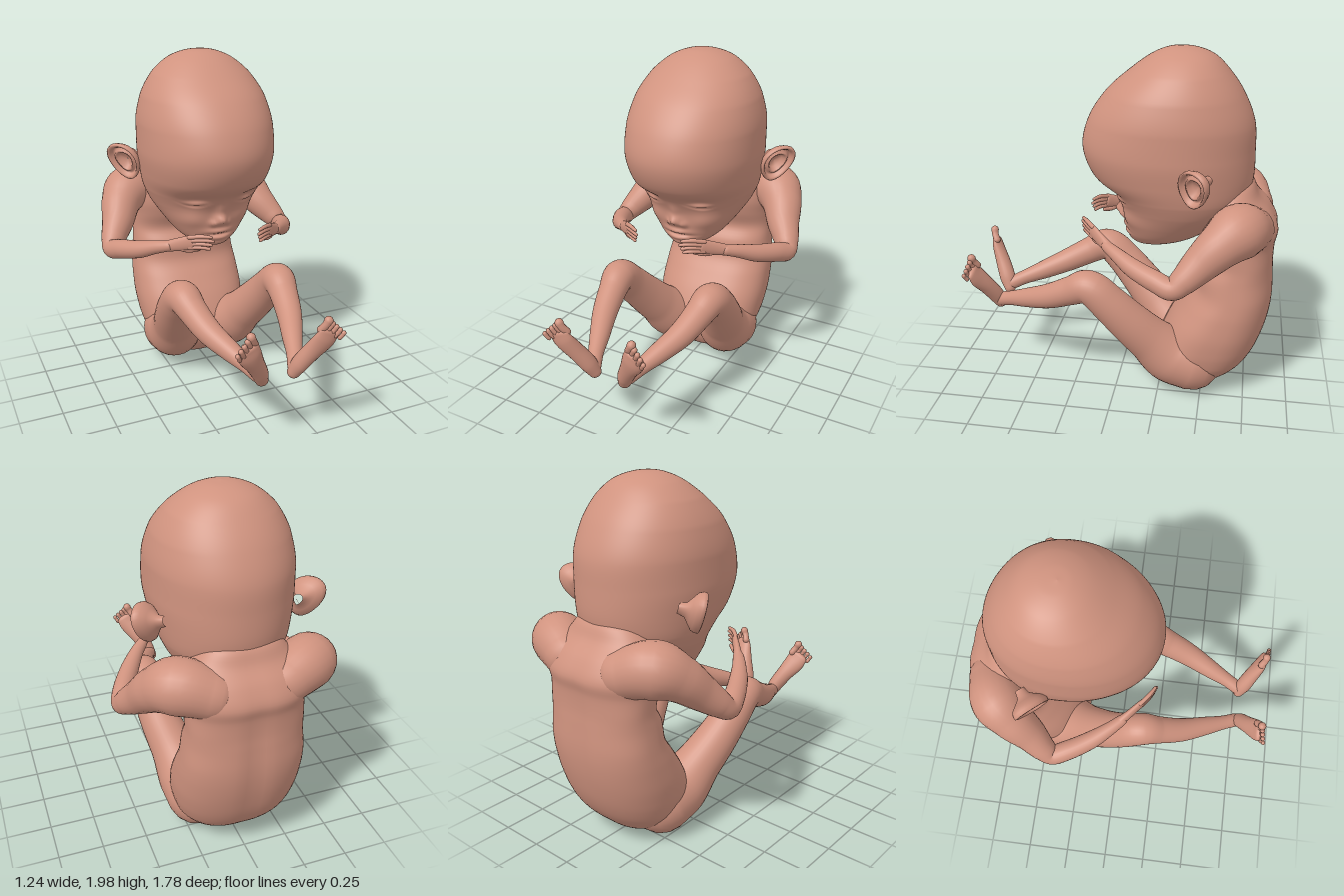
import * as THREE from 'three';

const V = (x, y, z) => new THREE.Vector3(x, y, z);
const bell = (d, s) => Math.exp(-((d / s) ** 2));

// Smooth skin over closed rings of equal length
function skin(rings) {
  const n = rings[0].length, pos = [], idx = [];
  rings.forEach((ring, i) => ring.forEach((p, j) => {
    pos.push(p.x, p.y, p.z);
    if (i === rings.length - 1) return;
    const a = i * n + j, b = i * n + (j + 1) % n;
    idx.push(a, b, a + n, b, b + n, a + n);
  }));
  const geo = new THREE.BufferGeometry();
  geo.setAttribute('position', new THREE.Float32BufferAttribute(pos, 3));
  geo.setIndex(idx);
  geo.computeVertexNormals();
  return geo;
}

// Round-ended limb through sections [x, y, z, radius across, radius along ref]
function limb(sections, ref, sides = 24, steps = 6) {
  const path = new THREE.CatmullRomCurve3(sections.map(s => V(s[0], s[1], s[2])));
  const size = new THREE.CatmullRomCurve3(sections.map(s => V(s[3], s[4] ?? s[3], 0)));
  const rings = [];
  const ring = (t, shift, scale) => {
    const dir = path.getTangent(t), r = size.getPoint(t);
    const side = ref.clone().cross(dir).normalize(), up = dir.clone().cross(side);
    const c = path.getPoint(t).addScaledVector(dir, shift * Math.min(r.x, r.y));
    rings.push(Array.from({ length: sides }, (_, j) => {
      const a = j / sides * Math.PI * 2;
      return c.clone().addScaledVector(side, r.x * scale * Math.cos(a))
        .addScaledVector(up, r.y * scale * Math.sin(a));
    }));
  };
  const cap = [0.01, 0.4, 0.75, 0.93];
  cap.forEach(s => ring(0, -Math.sqrt(1 - s * s), s));
  const total = (sections.length - 1) * steps;
  for (let i = 0; i <= total; i++) ring(i / total, 0, 1);
  cap.reverse().forEach(s => ring(1, Math.sqrt(1 - s * s), s));
  return skin(rings);
}

// Body from level slices [y, front z, back z, half width], bottom to top
function slices(rows, sides, steps, power, shape) {
  const a = new THREE.CatmullRomCurve3(rows.map(r => V(r[0], r[1], r[2])));
  const w = new THREE.CatmullRomCurve3(rows.map(r => V(r[3], 0, 0)));
  const total = (rows.length - 1) * steps, rings = [];
  const bow = v => Math.sign(v) * Math.abs(v) ** (2 / power);
  for (let i = 0; i <= total; i++) {
    const p = a.getPoint(i / total), hw = Math.max(0.0005, w.getPoint(i / total).x);
    rings.push(Array.from({ length: sides }, (_, j) => {
      const t = j / sides * Math.PI * 2, c = Math.cos(t);
      const q = V(hw * bow(Math.sin(t)), p.x, (p.y + p.z) / 2 + (p.y - p.z) / 2 * bow(c));
      q.z += shape(q.x, q.y, c);
      return q;
    }));
  }
  return skin(rings);
}

// Relief of the sleeping face
function face(x, y, c) {
  if (c <= 0) return 0;
  const m = Math.abs(x);
  const d = 0.05 * bell(x, 0.035) * bell(y - 1.06, 0.032)
    + 0.02 * bell(x, 0.03) * bell(y - 1.12, 0.05)
    + 0.022 * bell(m - 0.045, 0.02) * bell(y - 1.04, 0.02)
    - 0.025 * bell(m - 0.15, 0.07) * bell(y - 1.2, 0.035)
    + 0.018 * bell(m - 0.16, 0.06) * bell(y - 1.175, 0.022)
    - 0.015 * bell(m - 0.16, 0.055) * bell(y - 1.16 - 3 * (m - 0.16) ** 2, 0.008)
    + 0.02 * bell(m - 0.17, 0.07) * bell(y - 1.06, 0.06)
    + 0.018 * bell(x, 0.07) * (bell(y - 0.985, 0.016) + bell(y - 0.94, 0.016))
    - 0.015 * bell(x, 0.075) * bell(y - 0.962, 0.008)
    + 0.015 * bell(x, 0.06) * bell(y - 0.9, 0.022);
  return d * Math.min(1, c * 3);
}

function earGeometry() {
  const c = V(0.43, 1.355, -0.44), u = V(0.66, 0, -0.75), v = V(0.3, 0.95, 0);
  const n = u.clone().cross(v).normalize();
  // [radius, height] from the root behind, over the rim, into the hollow
  const rows = [[0.25, -0.1], [0.35, -0.06], [0.65, -0.035], [0.9, -0.015], [1, 0.008], [0.98, 0.026],
    [0.9, 0.03], [0.82, 0.02], [0.76, 0], [0.66, -0.005], [0.58, 0.012], [0.48, 0.01], [0.38, -0.018], [0.01, -0.025]];
  return skin(rows.map(([r, h]) => Array.from({ length: 36 }, (_, j) => {
    const t = j / 36 * Math.PI * 2, s = Math.sin(t);
    return c.clone().addScaledVector(u, 0.1 * r * Math.cos(t) * (1 + 0.2 * s))
      .addScaledVector(v, 0.115 * r * s).addScaledVector(n, h);
  })));
}

export function createModel() {
  const model = new THREE.Group();
  model.name = 'curledBaby';
  const skinTone = new THREE.MeshStandardMaterial({ color: 0xd0937f });
  skinTone.name = 'skin';
  const add = (name, geo) => {
    const mesh = new THREE.Mesh(geo, skinTone);
    mesh.name = name;
    model.add(mesh);
  };
  // Left part plus its mirror image on the right
  const pair = (name, geo) => {
    add('left' + name, geo);
    const flip = geo.clone().scale(-1, 1, 1), id = flip.index.array;
    for (let i = 0; i < id.length; i += 3) [id[i], id[i + 1]] = [id[i + 1], id[i]];
    flip.computeVertexNormals();
    add('right' + name, flip);
  };
  const X = V(1, 0, 0), Y = V(0, 1, 0), Z = V(0, 0, 1);

  // Head with face
  add('head', slices([
    [0.87, -0.15, -0.15, 0], [0.878, -0.09, -0.22, 0.07], [0.9, -0.06, -0.33, 0.125], [0.95, -0.035, -0.45, 0.19],
    [1.03, -0.02, -0.56, 0.25], [1.12, 0, -0.66, 0.305], [1.2, 0.055, -0.71, 0.34], [1.3, 0.165, -0.735, 0.365],
    [1.45, 0.22, -0.735, 0.385], [1.6, 0.188, -0.725, 0.383], [1.75, 0.092, -0.665, 0.35], [1.87, -0.04, -0.582, 0.28],
    [1.95, -0.15, -0.5, 0.185], [1.988, -0.235, -0.41, 0.09], [2, -0.31, -0.31, 0],
  ], 128, 11, 2.1, face));
  pair('Ear', earGeometry());

  // Torso with a shallow spine groove
  add('torso', slices([
    [0.035, -0.42, -0.42, 0], [0.05, -0.32, -0.56, 0.13], [0.1, -0.26, -0.66, 0.24], [0.2, -0.22, -0.755, 0.315],
    [0.3, -0.24, -0.81, 0.34], [0.43, -0.3, -0.853, 0.352], [0.55, -0.38, -0.877, 0.348], [0.65, -0.445, -0.884, 0.338],
    [0.76, -0.46, -0.88, 0.325], [0.85, -0.505, -0.875, 0.318], [0.95, -0.47, -0.878, 0.32], [1.03, -0.45, -0.89, 0.33],
    [1.12, -0.45, -0.845, 0.32], [1.2, -0.45, -0.775, 0.26], [1.28, -0.46, -0.73, 0.19], [1.33, -0.58, -0.6, 0.01],
  ], 64, 5, 2.4, (x, y, c) => (c < 0 ? 0.018 * bell(x, 0.06) * bell(y - 0.65, 0.4) : 0)));

  // Arms
  pair('Arm', limb([
    [0.2, 1.06, -0.73, 0.13], [0.35, 1.1, -0.665, 0.15], [0.43, 1.05, -0.58, 0.122], [0.485, 0.96, -0.48, 0.097],
    [0.54, 0.885, -0.4, 0.073], [0.562, 0.848, -0.35, 0.058], [0.53, 0.87, -0.26, 0.057],
    [0.46, 0.905, -0.13, 0.051], [0.39, 0.945, -0.03, 0.038], [0.34, 0.965, 0.03, 0.031],
  ], Y));
  pair('Palm', limb([
    [0.355, 0.958, 0.01, 0.028, 0.03], [0.3, 0.982, 0.07, 0.021, 0.038], [0.24, 1.008, 0.13, 0.017, 0.042],
  ], Y));
  for (let i = 0; i < 4; i++) {
    const k = i - 1.5, reach = 1 - 0.08 * Math.abs(i - 2);
    pair('Finger' + (i + 1), limb([
      [0.25, 1.006 + k * 0.02, 0.125, 0.013], [0.25 - 0.06 * reach, 1.016 + k * 0.022, 0.125 + 0.05 * reach, 0.012],
      [0.25 - 0.11 * reach, 1.012 + k * 0.023, 0.125 + 0.08 * reach, 0.009],
    ], Y, 10, 4));
  }
  pair('Thumb', limb([
    [0.3, 0.965, 0.07, 0.016], [0.25, 0.955, 0.11, 0.014], [0.2, 0.965, 0.145, 0.01],
  ], Y, 10, 4));

  // Legs
  pair('Leg', limb([
    [0.17, 0.195, -0.44, 0.18], [0.195, 0.24, -0.31, 0.168], [0.235, 0.355, -0.19, 0.132], [0.275, 0.48, -0.075, 0.118],
    [0.3, 0.6, 0.035, 0.106], [0.305, 0.675, 0.115, 0.1], [0.3, 0.688, 0.165, 0.096], [0.285, 0.65, 0.25, 0.083],
    [0.25, 0.585, 0.39, 0.072], [0.19, 0.53, 0.54, 0.057], [0.14, 0.49, 0.66, 0.043], [0.11, 0.465, 0.725, 0.042],
  ], X, 32));
  pair('Foot', limb([
    [0.095, 0.44, 0.738, 0.037, 0.036], [0.12, 0.5, 0.76, 0.046, 0.048], [0.165, 0.58, 0.797, 0.052, 0.044],
    [0.21, 0.655, 0.835, 0.064, 0.034], [0.23, 0.7, 0.85, 0.062, 0.023],
  ], Z));
  for (let i = 0; i < 5; i++) {
    const t = -0.05 + i * 0.027, len = 0.068 - i * 0.008, r = i ? 0.017 - i * 0.001 : 0.024;
    const b = V(0.232 + 0.88 * t, 0.695 - 0.47 * t, 0.852 + 0.3 * t);
    pair('Toe' + (i + 1), limb([
      [b.x, b.y, b.z, r * 0.9], [b.x + 0.45 * len * 0.6, b.y + 0.83 * len * 0.6, b.z + 0.25 * len, r * 0.85],
      [b.x + 0.45 * len, b.y + 0.83 * len, b.z + 0.3 * len, r],
    ], Z, 12, 4));
  }
  return model;
}
